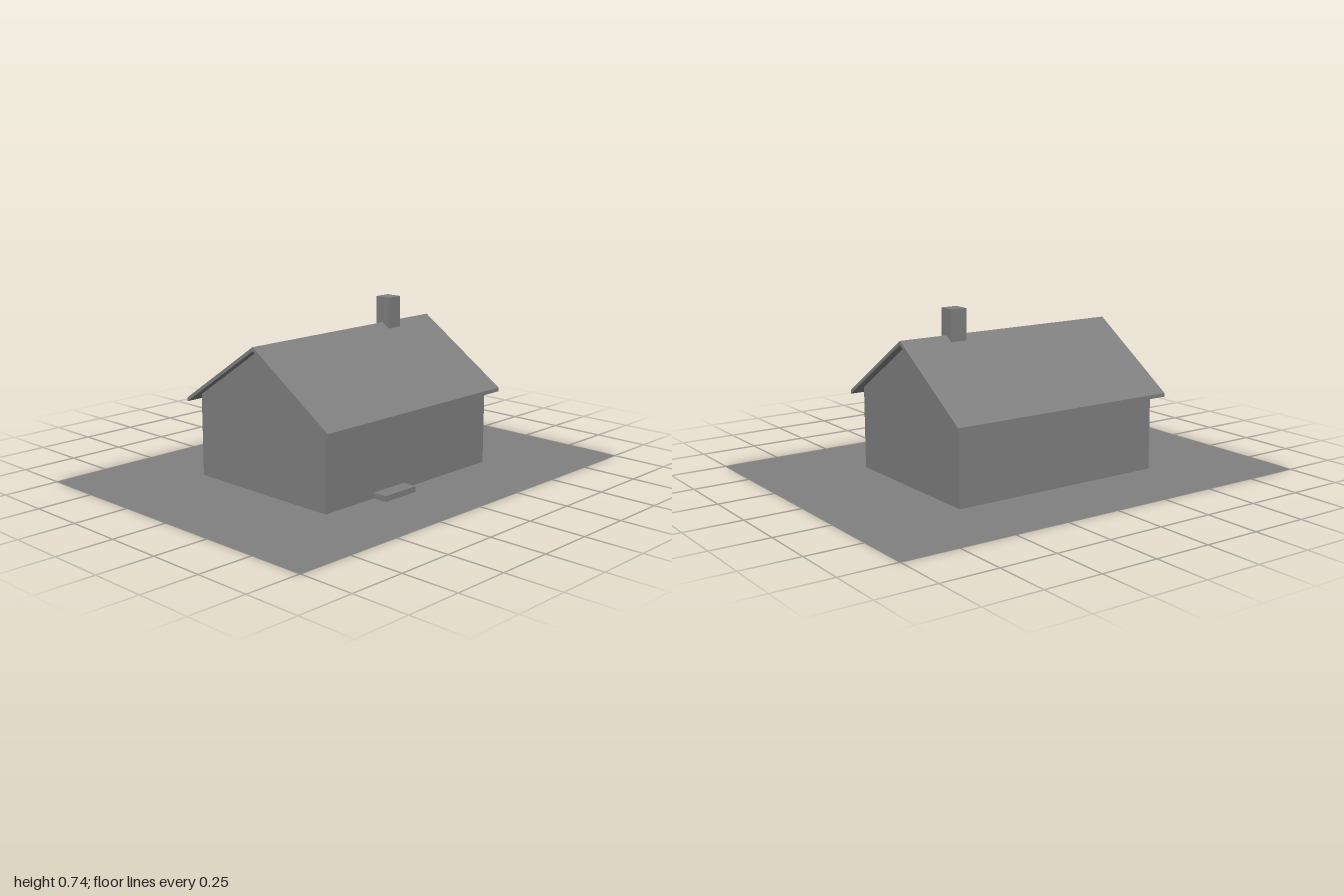
import * as THREE from 'three';

const W = 0.5, D = 0.375;            // half width and half depth of the house
const EAVE_X = 0.5375, EAVE_Z = 0.425; // roof overhang
const RIDGE = 0.61, SLOPE = 0.66, THICK = 0.017;

export function createModel() {
  const model = new THREE.Group();
  const grey = new THREE.MeshStandardMaterial({ color: 0x808080, side: THREE.DoubleSide });
  grey.name = 'plain grey';

  const add = (name, geometry, x = 0, y = 0, z = 0) => {
    const mesh = new THREE.Mesh(geometry, grey);
    mesh.name = name;
    mesh.position.set(x, y, z);
    model.add(mesh);
    return mesh;
  };
  const shape = pts => new THREE.Shape(pts.map(p => new THREE.Vector2(...p)));
  const underside = z => RIDGE - SLOPE * Math.abs(z);

  // Flat plot with a rectangular opening under the house
  const plot = shape([[-1, -0.75], [1, -0.75], [1, 0.75], [-1, 0.75]]);
  plot.holes.push(new THREE.Path(
    [[-W, -0.25], [-W, 0.25], [W, 0.25], [W, -0.25]].map(p => new THREE.Vector2(...p))));
  add('ground', new THREE.ShapeGeometry(plot).rotateX(-Math.PI / 2));

  // Hollow house: two long walls and two gable ends
  const wallTop = underside(D);
  const gable = shape([[-D, 0], [D, 0], [D, wallTop], [0, RIDGE], [-D, wallTop]]);
  for (const s of [1, -1]) {
    const turn = s > 0 ? 0 : Math.PI;
    add(s > 0 ? 'frontWall' : 'backWall',
      new THREE.PlaneGeometry(2 * W, wallTop).rotateY(turn), 0, wallTop / 2, s * D);
    add(s > 0 ? 'leftGable' : 'rightGable',
      new THREE.ShapeGeometry(gable).rotateY(s * Math.PI / 2), s * W);
  }

  // Thin pitched roof with overhanging eaves
  const low = underside(EAVE_Z);
  const chevron = shape([
    [-EAVE_Z, low], [0, RIDGE], [EAVE_Z, low],
    [EAVE_Z, low + THICK], [0, RIDGE + THICK], [-EAVE_Z, low + THICK],
  ]);
  add('roof', new THREE.ExtrudeGeometry(chevron, { depth: 2 * EAVE_X, bevelEnabled: false })
    .translate(0, 0, -EAVE_X).rotateY(Math.PI / 2));

  // Chimney astride the ridge
  add('chimney', new THREE.BoxGeometry(0.075, 0.14, 0.075), 0.273, 0.67, 0);

  // Low step against the front wall
  add('doorStep', new THREE.BoxGeometry(0.183, 0.025, 0.067), -0.129, 0.0125, 0.4085);

  return model;
}
